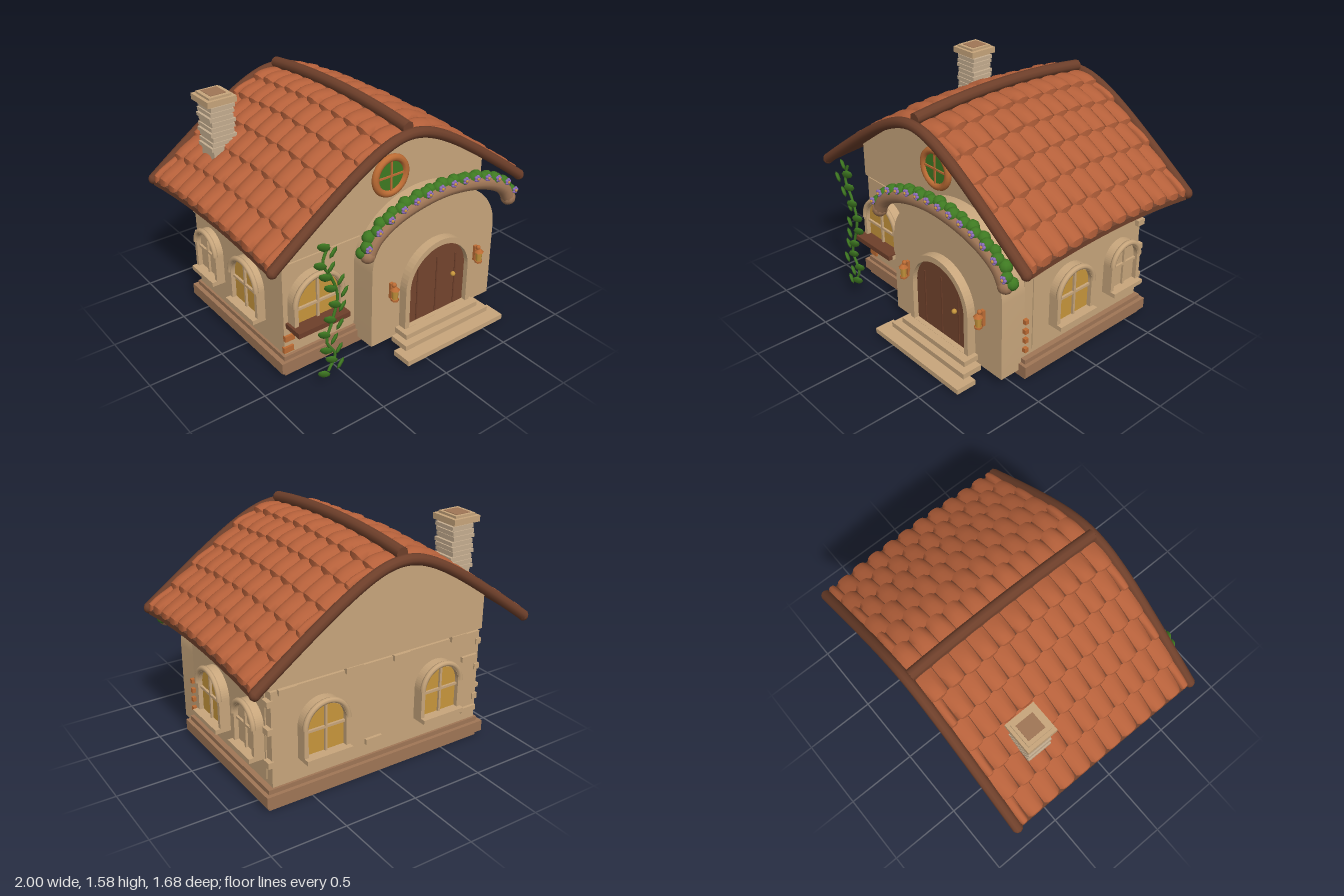
import * as THREE from 'three';
import { mergeGeometries, toCreasedNormals } from 'three/addons/utils/BufferGeometryUtils.js';

const mat = (name, color) => new THREE.MeshStandardMaterial({ name, color, side: THREE.DoubleSide });
const V = (x, y, z) => new THREE.Vector3(x, y, z);

// Roof section (height over x) and the gentle bow along its length
const ZMIN = -0.79, ZMAX = 0.57, ZC = -0.11;
const roofY = (x) => 1.46 - 0.78 * (Math.hypot(x, 0.3) - 0.3);
const bow = (z) => 0.045 * (1 - ((z - ZC) / 0.68) ** 2);

// Arched opening outline: half width r, from bottom up to a semi-ellipse of height ry
function archShape(r, bottom, spring, ry = r, C = THREE.Shape) {
  const s = new C();
  s.moveTo(-r, bottom);
  s.lineTo(r, bottom);
  s.lineTo(r, spring);
  s.absellipse(0, spring, r, ry, 0, Math.PI, false, 0);
  s.lineTo(-r, bottom);
  return s;
}
const extrude = (shape, depth) =>
  new THREE.ExtrudeGeometry(shape, { depth, bevelEnabled: false, curveSegments: 16 });

export function createModel() {
  const M = {
    wall: mat('plaster', 0xc8a67c), base: mat('earthBrown', 0xa07656),
    tile: mat('terracotta', 0xb5603a), wood: mat('darkWood', 0x6e3f2a),
    door: mat('doorWood', 0x74452e), amber: mat('amberGlass', 0xc8963c),
    leaf: mat('leafGreen', 0x3f7a22), copper: mat('copper', 0xbd6c34),
    flower: mat('purple', 0x8c6cb8), stone: mat('chimneyStone', 0xc6ae90),
  };
  const model = new THREE.Group();
  const add = (name, geo, m, x = 0, y = 0, z = 0, parent = model) => {
    const mesh = new THREE.Mesh(geo, m);
    mesh.name = name;
    mesh.position.set(x, y, z);
    parent.add(mesh);
    return mesh;
  };
  // Box given by its limits
  const box = (name, m, x0, x1, y0, y1, z0, z1, parent = model) =>
    add(name, new THREE.BoxGeometry(x1 - x0, y1 - y0, z1 - z0), m,
      (x0 + x1) / 2, (y0 + y1) / 2, (z0 + z1) / 2, parent);
  const tube = (name, pts, r, m, n = 40) =>
    add(name, new THREE.TubeGeometry(new THREE.CatmullRomCurve3(pts), n, r, 10), m);
  const ball = (name, r, m, x, y, z, parent = model) =>
    add(name, new THREE.SphereGeometry(r, 10, 7), m, x, y, z, parent);

  // Foundation and walls
  box('foundation', M.base, -0.8, 0.8, 0, 0.14, -0.635, 0.42);
  box('foundationTrim', M.base, -0.83, 0.825, 0.035, 0.11, -0.66, 0.44);
  box('walls', M.wall, -0.785, 0.765, 0.14, 0.77, -0.62, 0.4);
  box('innerWalls', M.wall, -0.772, 0.772, 0.17, 0.85, -0.56, 0.335);

  // Gables follow the roof section
  const gable = new THREE.Shape();
  gable.moveTo(-0.79, 0.79);
  gable.lineTo(0.79, 0.79);
  for (let i = 0; i <= 24; i++) {
    const x = 0.79 - (i / 24) * 1.58;
    gable.lineTo(x, roofY(x) - 0.015);
  }
  add('frontGable', extrude(gable, 0.03), M.wall, 0, 0, 0.385);
  add('backGable', extrude(gable, 0.03), M.wall, 0, 0, -0.635);

  // Arched porch with door
  add('porch', toCreasedNormals(extrude(archShape(0.51, 0.06, 0.6, 0.4), 0.39), 0.5), M.wall, 0.255, 0, 0.19);
  add('door', extrude(archShape(0.25, 0.13, 0.405), 0.025), M.door, 0.25, 0, 0.58);
  const doorFrame = archShape(0.28, 0.13, 0.41);
  doorFrame.holes.push(archShape(0.245, 0.131, 0.405, 0.245, THREE.Path));
  add('doorFrame', extrude(doorFrame, 0.06), M.wall, 0.25, 0, 0.58);
  for (const [x, top] of [[0.09, 0.52], [0.25, 0.55], [0.41, 0.52]])
    box('doorGroove', M.wood, x - 0.005, x + 0.005, 0.14, top, 0.603, 0.61);
  ball('doorKnob', 0.017, M.amber, 0.385, 0.375, 0.62);
  box('lowerStep', M.wall, -0.16, 0.655, 0.02, 0.055, 0.69, 0.83);
  box('middleStep', M.wall, -0.105, 0.605, 0.052, 0.09, 0.6, 0.74);
  box('upperStep', M.wall, -0.06, 0.555, 0.088, 0.125, 0.56, 0.69);

  // Wall lanterns
  for (const x of [-0.11, 0.61]) {
    box('lanternPlate', M.copper, x - 0.012, x + 0.012, 0.38, 0.49, 0.575, 0.6);
    add('lanternGlass', new THREE.CylinderGeometry(0.024, 0.019, 0.07, 6), M.amber, x, 0.425, 0.625);
    add('lanternCap', new THREE.CylinderGeometry(0.012, 0.032, 0.022, 6), M.copper, x, 0.468, 0.625);
    add('lanternFoot', new THREE.CylinderGeometry(0.026, 0.026, 0.012, 6), M.copper, x, 0.386, 0.625);
    ball('lanternKnob', 0.016, M.copper, x, 0.488, 0.615);
  }

  // Arched windows, built facing +z and turned to their wall
  function windowAt(x, z, turn, r, bottom, top, glass) {
    const g = new THREE.Group();
    g.name = 'archedWindow';
    g.position.set(x, 0, z);
    g.rotation.y = turn;
    model.add(g);
    const spring = top - r, R = r + 0.028;
    add('windowPane', extrude(archShape(r, bottom, spring), 0.045), glass, 0, 0, 0, g);
    const ring = archShape(R, bottom - 0.01, spring);
    ring.holes.push(archShape(r, bottom, spring, r, THREE.Path));
    add('windowFrame', extrude(ring, 0.075), M.wall, 0, 0, 0, g);
    const arc = new THREE.TorusGeometry(R - 0.01, 0.018, 8, 20, Math.PI);
    add('windowArch', arc, M.wall, 0, spring, 0.07, g);
    box('windowMullion', M.wall, -0.008, 0.008, bottom, top, 0.04, 0.06, g);
    box('windowBar', M.wall, -r, r, spring - 0.035, spring - 0.019, 0.04, 0.06, g);
    box('windowSill', M.wall, -R, R, bottom - 0.03, bottom, 0, 0.11, g);
  }
  for (const s of [1, -1]) {
    windowAt(s * 0.768, 0.04, s * Math.PI / 2, 0.132, 0.315, 0.635, M.amber);
    windowAt(s * 0.768, -0.415, s * Math.PI / 2, 0.105, 0.335, 0.62, M.wall);
    windowAt(s * 0.43, -0.62, Math.PI, 0.132, 0.315, 0.635, M.amber);
  }
  windowAt(-0.57, 0.4, 0, 0.155, 0.36, 0.66, M.amber);
  box('flowerBox', M.wood, -0.77, -0.39, 0.335, 0.37, 0.4, 0.54);
  box('flowerBoxFoot', M.wood, -0.74, -0.42, 0.315, 0.336, 0.4, 0.5);

  // Round gable window
  const disc = new THREE.CylinderGeometry(0.105, 0.105, 0.03, 28).rotateX(Math.PI / 2);
  add('roundPane', disc, M.leaf, 0, 1.13, 0.415);
  add('roundFrame', new THREE.TorusGeometry(0.118, 0.024, 10, 28), M.copper, 0, 1.13, 0.425);
  box('roundBarUpright', M.copper, -0.006, 0.006, 1.03, 1.23, 0.43, 0.438);
  box('roundBarLevel', M.copper, -0.1, 0.1, 1.124, 1.136, 0.43, 0.438);

  // Corner and wall bricks
  for (const y of [0.2, 0.27, 0.335, 0.405])
    box('cornerBrick', M.copper, 0.755, 0.79, y - 0.015, y + 0.015, 0.385, 0.412);
  for (const [x, y] of [[-0.755, 0.18], [-0.745, 0.26]])
    box('frontBrick', M.copper, x - 0.04, x + 0.03, y - 0.02, y + 0.02, 0.39, 0.415);
  for (const [x, y] of [[0.66, 0.76], [0.2, 0.77], [-0.15, 0.76], [-0.6, 0.77], [-0.7, 0.6], [0.05, 0.24], [-0.72, 0.22]])
    box('backBrick', M.wall, x - 0.06, x + 0.06, y - 0.018, y + 0.018, -0.64, -0.61);
  for (const s of [1, -1]) for (const y of [0.3, 0.52, 0.7])
    box('sideBrick', M.wall, s * 0.775 - 0.02, s * 0.775 + 0.02, y - 0.02, y + 0.02, -0.63, -0.57);

  // Roof deck bent to the section
  const deck = new THREE.BoxGeometry(1.95, 0.035, ZMAX - ZMIN, 32, 1, 10);
  const dp = deck.attributes.position;
  for (let i = 0; i < dp.count; i++) {
    const z = dp.getZ(i) + ZC;
    dp.setXYZ(i, dp.getX(i), dp.getY(i) - 0.012 + roofY(dp.getX(i)) + bow(z), z);
  }
  add('roofDeck', toCreasedNormals(deck, 0.6), M.wood);

  // Overlapping cushion tiles: thin at the upper edge, thick at the lower lip
  function tileGeo(x0, x1, z0, z1, tilt) {
    const g = new THREE.BoxGeometry(1, 1, 1, 4, 1, 6);
    const p = g.attributes.position;
    for (let i = 0; i < p.count; i++) {
      const t = p.getX(i) + 0.5, v = p.getZ(i) * 2;
      const x = x0 + (x1 - x0) * t - 0.018 * t * v ** 4;
      const z = (z0 + z1) / 2 + v * (z1 - z0) * 0.5 * (1 - 0.05 * t ** 4);
      const h = p.getY(i) > 0 ? (0.018 + (0.04 + tilt) * t - 0.014 * t ** 6) * (1 - 0.65 * Math.abs(v) ** 3) : 0;
      p.setXYZ(i, x, roofY(x) + bow(z) + h, z);
    }
    return toCreasedNormals(g, 0.7);
  }
  const ROWS = 6, PER = 11, w = (ZMAX - ZMIN) / PER, step = 0.155;
  const tiles = [];
  for (let r = 0; r < ROWS; r++) {
    const x0 = 0.035 + r * step;
    for (let k = 0; k <= PER; k++) {
      const a = ZMIN + (k - (r % 2) / 2) * w;
      const z0 = Math.max(a, ZMIN), z1 = Math.min(a + w, ZMAX);
      if (z1 - z0 > 0.03) tiles.push(tileGeo(x0, x0 + step + 0.012, z0 + 0.002, z1 - 0.002, ((k * 7 + r * 5) % 4) * 0.003));
    }
  }
  const half = mergeGeometries(tiles);
  add('rightSlopeTiles', half, M.tile);
  const other = add('leftSlopeTiles', half, M.tile, 0, 0, 2 * ZC);
  other.rotation.y = Math.PI;

  // Ridge and verge beams
  const ridge = [];
  for (let i = 0; i <= 8; i++) {
    const z = ZMIN + (i / 8) * (ZMAX - ZMIN);
    ridge.push(V(0, 1.495 + bow(z), z));
  }
  tube('ridgeBeam', ridge, 0.038, M.wood);
  for (const z of [0.0, 1.0]) add('ridgeEnd', new THREE.CircleGeometry(0.038, 12), M.wood, 0, 1.495, z ? ZMAX : ZMIN);
  for (const z of [0.588, -0.812]) {
    const verge = [];
    for (let i = 0; i <= 20; i++) {
      const x = -0.97 + i * 0.097;
      verge.push(V(x, roofY(x), z));
    }
    tube('vergeBeam', verge, 0.034, M.wood, 60).scale.z = 1;
    for (const s of [1, -1]) ball('vergeEnd', 0.034, M.wood, s * 0.965, roofY(0.97), z);
  }

  // Chimney with rough courses
  box('chimneyShaft', M.stone, -0.735, -0.59, 1.02, 1.5, -0.54, -0.39);
  for (let i = 0; i < 9; i++) {
    const d = (i % 3) * 0.007, y = 1.19 + i * 0.033;
    box('chimneyCourse', M.stone, -0.752 + d, -0.585 + d, y, y + 0.024, -0.548, -0.382);
  }
  box('chimneyCap', M.wall, -0.768, -0.565, 1.49, 1.53, -0.57, -0.365);
  box('chimneyRim', M.wall, -0.745, -0.59, 1.53, 1.545, -0.55, -0.385);
  box('chimneyOpening', M.base, -0.72, -0.61, 1.543, 1.548, -0.53, -0.41);

  // Porch hood with garland
  const hood = [[-0.33, 0.79], [-0.27, 0.88], [-0.1, 0.975], [0.25, 1.03], [0.6, 0.975], [0.78, 0.88], [0.84, 0.79]]
    .map(([x, y]) => V(x, y, 0.625));
  tube('porchHood', hood, 0.045, M.base);
  for (const p of [hood[0], hood[6]]) ball('hoodEnd', 0.05, M.base, p.x, p.y, p.z);
  const hoodCurve = new THREE.CatmullRomCurve3(hood);
  for (let i = 0; i <= 28; i++) {
    const p = hoodCurve.getPointAt(i / 28), t = hoodCurve.getTangentAt(i / 28);
    const nx = -t.y, ny = t.x;
    ball('garlandLeaf', 0.038 + (i % 3) * 0.003, M.leaf, p.x + nx * 0.035, p.y + ny * 0.035, 0.605 + (i % 2) * 0.02);
    if (i % 2) {
      const fx = p.x + nx * 0.05, fy = p.y + ny * 0.045;
      for (let k = 0; k < 5; k++) {
        const a = k * Math.PI * 0.4;
        ball('garlandPetal', 0.011, M.flower, fx + Math.cos(a) * 0.014, fy + Math.sin(a) * 0.014, 0.662);
      }
      ball('garlandFlowerCentre', 0.01, M.amber, fx, fy, 0.67);
    }
  }

  // Climbing vine
  const vine = [[-0.63, 0.99], [-0.67, 0.88], [-0.61, 0.76], [-0.57, 0.62], [-0.61, 0.46], [-0.65, 0.33], [-0.59, 0.21], [-0.64, 0.11]]
    .map(([x, y]) => V(x, y, 0.65));
  tube('vineStem', vine, 0.009, M.leaf);
  const vineCurve = new THREE.CatmullRomCurve3(vine);
  const leaf = new THREE.SphereGeometry(0.042, 6, 4).scale(1, 0.8, 0.3);
  for (let i = 0; i < 19; i++) {
    const p = vineCurve.getPointAt(i / 18), s = i % 2 ? 1 : -1;
    const l = add('vineLeaf', leaf, M.leaf, p.x + s * 0.04, p.y, 0.66 + (i % 3) * 0.01);
    l.rotation.set(0.4, s * 0.5, s * 0.5);
  }
  return model;
}
